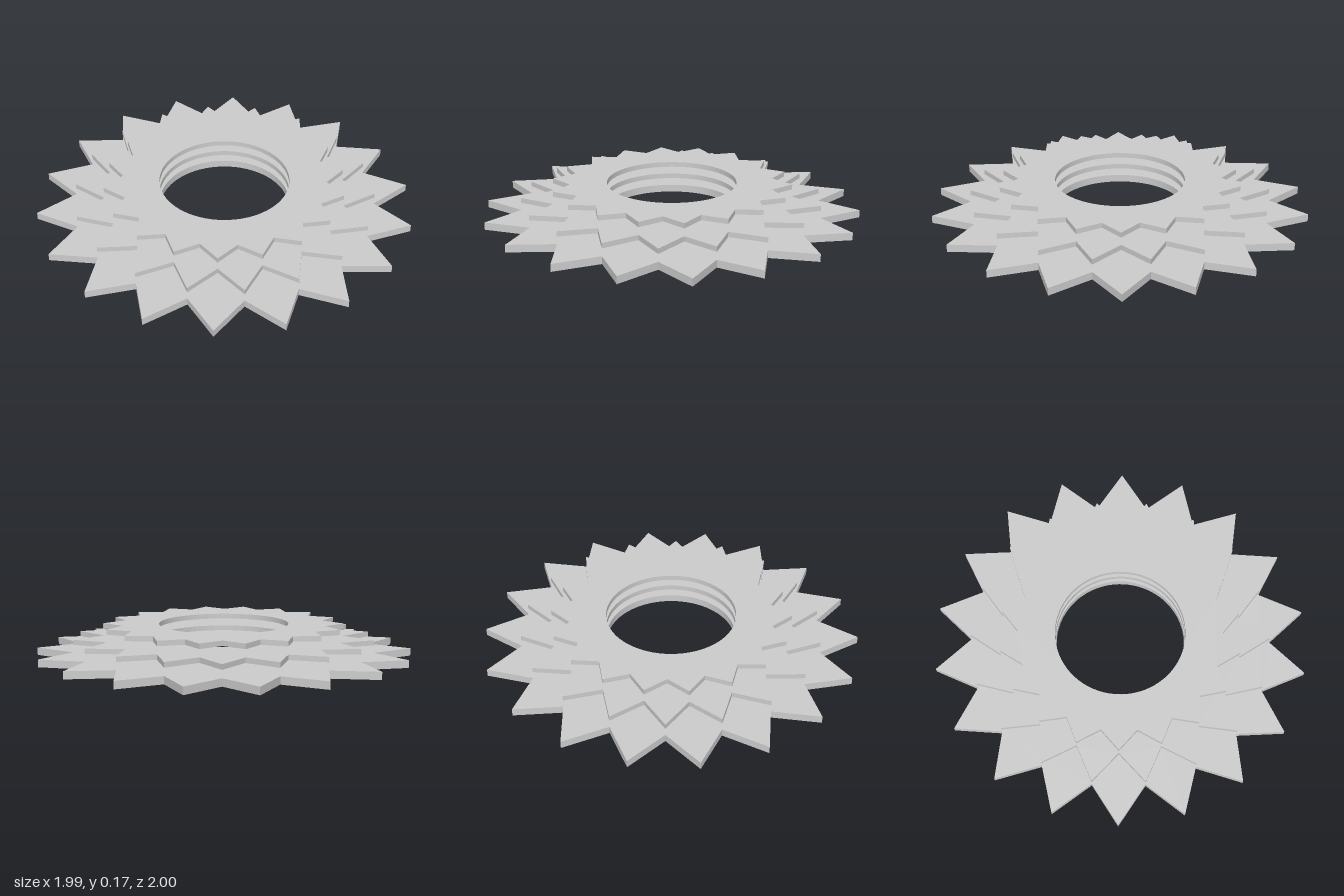
import * as THREE from 'three';
import { toCreasedNormals } from 'three/addons/utils/BufferGeometryUtils.js';

const TEETH = 18;
const HOLE = 0.345;
const STEP = (Math.PI * 2) / TEETH;
const TURN = THREE.MathUtils.degToRad(-6.6);

// Flat toothed ring with a round hole, lying on its bottom height
function starRing(name, tipRadius, valleyRadius, turn, bottom, thickness, material) {
  const points = [];
  for (let i = 0; i < TEETH * 2; i++) {
    const r = i % 2 ? valleyRadius : tipRadius;
    const a = turn + (i * STEP) / 2;
    points.push(new THREE.Vector2(r * Math.cos(a), r * Math.sin(a)));
  }
  const shape = new THREE.Shape(points);
  shape.holes.push(new THREE.Path().absarc(0, 0, HOLE, 0, Math.PI * 2, true));
  const extruded = new THREE.ExtrudeGeometry(shape, {
    depth: thickness, bevelEnabled: false, curveSegments: 36,
  });
  extruded.rotateX(-Math.PI / 2);
  const mesh = new THREE.Mesh(toCreasedNormals(extruded, 0.4), material);
  mesh.name = name;
  mesh.position.y = bottom;
  return mesh;
}

export function createModel() {
  const group = new THREE.Group();
  group.name = 'tieredStarRings';
  const grey = new THREE.MeshStandardMaterial({ color: 0xcccccc });

  // Each tier's tips sit above the valleys of the tier below
  group.add(
    starRing('lowerRing', 1.0, 0.8, TURN, 0, 0.04, grey),
    starRing('middleRing', 0.8, 0.64, TURN + STEP / 2, 0.08, 0.027, grey),
    starRing('upperRing', 0.64, 0.542, TURN, 0.147, 0.027, grey),
  );
  return group;
}
